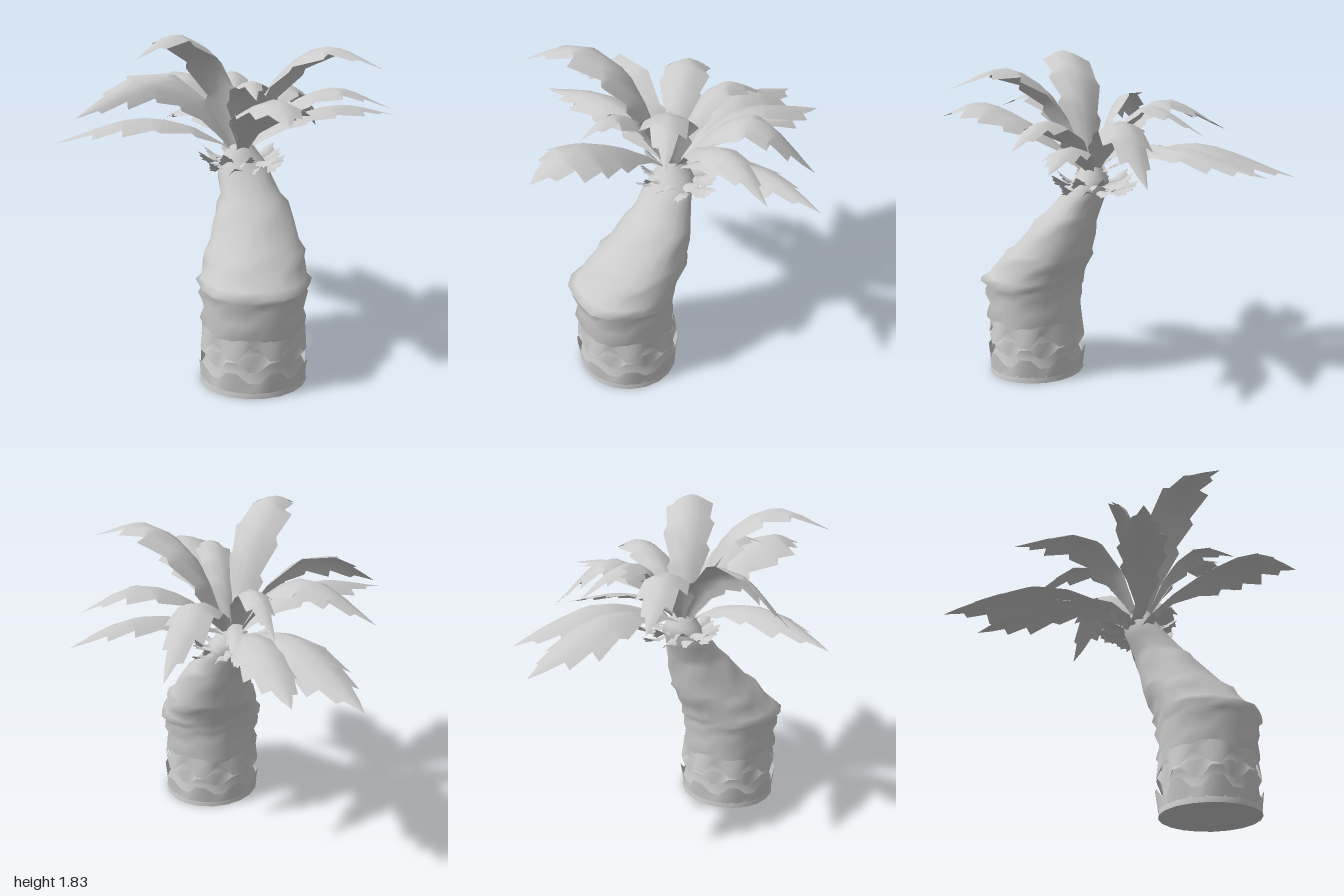
import * as THREE from 'three';

const material = new THREE.MeshStandardMaterial({ color: 0xcccccc, side: THREE.DoubleSide });

// Surface through rows of points; closed joins the last column to the first
function surface(rows, closed) {
  const n = rows[0].length, cols = closed ? n : n - 1, index = [];
  for (let r = 0; r < rows.length - 1; r++) {
    for (let c = 0; c < cols; c++) {
      const a = r * n + c, b = r * n + (c + 1) % n;
      index.push(a, a + n, b, b, a + n, b + n);
    }
  }
  const g = new THREE.BufferGeometry().setFromPoints(rows.flat());
  g.setIndex(index);
  g.computeVertexNormals();
  return g;
}

function add(parent, name, geometry) {
  const mesh = new THREE.Mesh(geometry, material);
  mesh.name = name;
  parent.add(mesh);
  return mesh;
}

// Trunk sections: y, centre x, centre z, radius x, radius z, bumpiness
const SECTIONS = [
  [0, 0.035, 0.45, 0.287, 0.272, 0], [0.07, 0.035, 0.45, 0.28, 0.265, 0],
  [0.13, 0.035, 0.45, 0.25, 0.24, 0], [0.19, 0.035, 0.45, 0.265, 0.255, 0],
  [0.23, 0.035, 0.45, 0.27, 0.255, 0.02], [0.28, 0.035, 0.45, 0.25, 0.245, 0],
  [0.33, 0.035, 0.455, 0.282, 0.277, 0.05], [0.4, 0.035, 0.455, 0.262, 0.262, 0],
  [0.47, 0.035, 0.455, 0.288, 0.282, 0.06], [0.51, 0.035, 0.455, 0.275, 0.272, 0],
  [0.545, 0.037, 0.46, 0.303, 0.298, 0.06], [0.575, 0.04, 0.44, 0.28, 0.275, 0],
  [0.64, 0.05, 0.395, 0.268, 0.257, 0.05], [0.7, 0.06, 0.36, 0.264, 0.252, 0.05],
  [0.73, 0.065, 0.335, 0.24, 0.23, 0], [0.83, 0.07, 0.275, 0.215, 0.192, 0.05],
  [0.91, 0.075, 0.235, 0.192, 0.17, 0.06], [0.95, 0.07, 0.205, 0.165, 0.15, 0],
  [1.03, 0.05, 0.155, 0.147, 0.127, 0.04], [1.1, 0.045, 0.11, 0.135, 0.112, 0],
  [1.15, 0.04, 0.1, 0.1, 0.09, 0], [1.22, 0.04, 0.1, 0.05, 0.05, 0],
];

function trunkGeometry() {
  const n = 20;
  const rows = SECTIONS.map(([y, cx, cz, rx, rz, bump], k) => Array.from({ length: n }, (_, i) => {
    const a = -i / n * Math.PI * 2;
    const s = 1 + bump * ((Math.floor(i / 2) + k) % 2 ? 0.5 : -0.6);
    return new THREE.Vector3(cx + Math.sin(a) * rx * s, y, cz + Math.cos(a) * rz * s);
  }));
  return surface(rows, true);
}

// Ring of bark whose free edge is cut into blunt teeth
function barkRing(yFixed, rFixed, yTip, rTip, yNotch, rNotch, phase) {
  const n = 32;
  const ring = f => Array.from({ length: n }, (_, i) => {
    const a = (n - i + phase) / n * Math.PI * 2, [y, r] = f(i);
    return new THREE.Vector3(0.035 + Math.sin(a) * r, y, 0.45 + Math.cos(a) * r * 0.955);
  });
  const edge = ring(i => i % 4 < 2 ? [yTip, rTip] : [yNotch, rNotch]);
  const root = ring(() => [yFixed, rFixed]);
  return surface(yTip > yFixed ? [root, edge] : [edge, root], true);
}

// Ragged leaf outline: [distance along the leaf, half width], one list per edge
const EDGES = [
  [[0, 0.14], [0.1, 0.3], [0.24, 0.62], [0.36, 0.92], [0.39, 0.78], [0.54, 1.05],
    [0.56, 0.86], [0.75, 0.92], [0.73, 0.58], [0.87, 0.45], [0.88, 0.24], [1, 0]],
  [[0, 0.14], [0.1, 0.32], [0.26, 0.78], [0.29, 0.64], [0.46, 1.02], [0.5, 0.88],
    [0.68, 1.02], [0.66, 0.7], [0.82, 0.66], [0.8, 0.4], [0.91, 0.22], [1, 0]],
];

// Leaf rising from base, over a peak (at a fraction of its reach), to its tip.
// rise: steepness near the base; skew: below 1 moves the widest part outward
function leafGeometry(base, tip, peakAt, peakY, width, rise = 0.68, skew = 1, roll = 0, flip = false) {
  const shoulder = base.clone().lerp(tip, peakAt * 0.42).setY(base.y + (peakY - base.y) * rise);
  const peak = base.clone().lerp(tip, peakAt).setY(peakY);
  const curve = new THREE.CatmullRomCurve3([base, shoulder, peak, tip]);
  const up = new THREE.Vector3(0, 1, 0);
  const [left, right] = flip ? [EDGES[1], EDGES[0]] : EDGES;
  const at = (s, u) => {
    const t = s ** skew;
    const T = curve.getTangentAt(t);
    const S = T.clone().cross(up).normalize().applyAxisAngle(T, roll);
    const N = S.clone().cross(T);
    return curve.getPointAt(t).addScaledVector(S, u * width)
      .addScaledVector(N, -0.42 * Math.abs(u) ** 1.5 * width);
  };
  const rows = left.map(([tl, wl], i) => {
    const [tr, wr] = right[i], tm = (tl + tr) / 2;
    return [at(tl, -wl), at((tl + tm) / 2, -wl / 2), at(tm, 0), at((tr + tm) / 2, wr / 2), at(tr, wr)];
  });
  return surface(rows, false);
}

// Leaves: tip x, y, z, peak position, peak height, half width, rise, skew, roll
const LEAVES = [
  [0.08, 1.46, 1.0, 0.72, 1.55, 0.19, 0.6, 0.7],
  [-0.19, 1.17, -1.0, 0.5, 1.35, 0.17, 0.6, 0.8],
  [0.14, 1.21, -0.9, 0.5, 1.35, 0.15, 0.6, 0.8],
  [-0.51, 1.38, -0.53, 0.5, 1.57, 0.13],
  [0.6, 1.2, -0.4, 0.55, 1.5, 0.13],
  [0.97, 1.31, -0.04, 0.6, 1.39, 0.11],
  [0.85, 1.39, 0.2, 0.6, 1.51, 0.11],
  [0.64, 1.66, 0.64, 0.6, 1.76, 0.14, 0.72],
  [-0.57, 1.73, 0.6, 0.6, 1.83, 0.14, 0.75],
  [-0.97, 1.27, 0.23, 0.55, 1.38, 0.13],
  [-0.85, 1.37, 0.09, 0.51, 1.56, 0.1, 0.68, 1, -0.85],
  [0.07, 1.4, -0.55, 0.5, 1.56, 0.085],
  [0, 1.53, 0.65, 0.62, 1.6, 0.1],
  [0.28, 1.33, -0.53, 0.5, 1.36, 0.05, 0.68, 1, 0.4],
];

export function createModel() {
  const model = new THREE.Group();
  model.name = 'palmTree';

  // Leaning trunk with its underside and toothed bark rings
  add(model, 'trunk', trunkGeometry());
  const underside = add(model, 'trunkUnderside', new THREE.CircleGeometry(1, 20));
  underside.rotation.x = Math.PI / 2;
  underside.scale.set(0.287, 0.272, 1);
  underside.position.set(0.035, 0, 0.45);
  const bark = new THREE.Group();
  bark.name = 'barkRings';
  model.add(bark);
  add(bark, 'lowerBarkRing', barkRing(0.03, 0.283, 0.14, 0.298, 0.085, 0.283, 1.5));
  add(bark, 'middleBarkRing', barkRing(0.23, 0.27, 0.14, 0.268, 0.195, 0.29, -0.5));
  add(bark, 'upperBarkRing', barkRing(0.33, 0.275, 0.205, 0.292, 0.27, 0.27, 1.5));

  // Large leaves, starting in a tight circle at the crown
  const crown = new THREE.Group();
  crown.name = 'crown';
  model.add(crown);
  LEAVES.forEach(([x, y, z, peakAt, peakY, width, rise, skew, roll], i) => {
    const out = new THREE.Vector3(x - 0.03, 0, z - 0.1).normalize().multiplyScalar(0.03);
    const base = new THREE.Vector3(0.03, 1.17, 0.1).add(out);
    const tip = new THREE.Vector3(x, y, z);
    add(crown, 'leaf', leafGeometry(base, tip, peakAt, peakY, width, rise, skew, roll, i % 2 === 1));
  });

  // Skirt of short dry leaves in two tiers under the crown
  const skirt = new THREE.Group();
  skirt.name = 'skirt';
  model.add(skirt);
  for (let i = 0; i < 18; i++) {
    const a = i / 18 * Math.PI * 2, upper = i % 2, r = 0.21 + 0.025 * (i * 5 % 3);
    const base = new THREE.Vector3(0.045 + Math.sin(a) * 0.08, 1.09 + 0.03 * upper, 0.09 + Math.cos(a) * 0.08);
    const tip = new THREE.Vector3(0.05 + Math.sin(a + 0.35) * r, 1.12 + 0.06 * upper, 0.07 + Math.cos(a + 0.35) * r);
    add(skirt, 'dryLeaf', leafGeometry(base, tip, 0.5, 1.09 + 0.04 * upper, 0.04, 0.3, 1, 0.3));
  }

  // Young shoots in the middle of the crown
  for (let i = 0; i < 3; i++) {
    const a = i * Math.PI * 2 / 3 + 0.4;
    const shoot = add(crown, 'shoot', new THREE.ConeGeometry(0.015, 0.14, 5));
    shoot.position.set(0.03 + Math.sin(a) * 0.04, 1.23, 0.1 + Math.cos(a) * 0.04);
    shoot.rotation.set(Math.cos(a) * 0.25, 0, -Math.sin(a) * 0.25);
  }
  return model;
}
